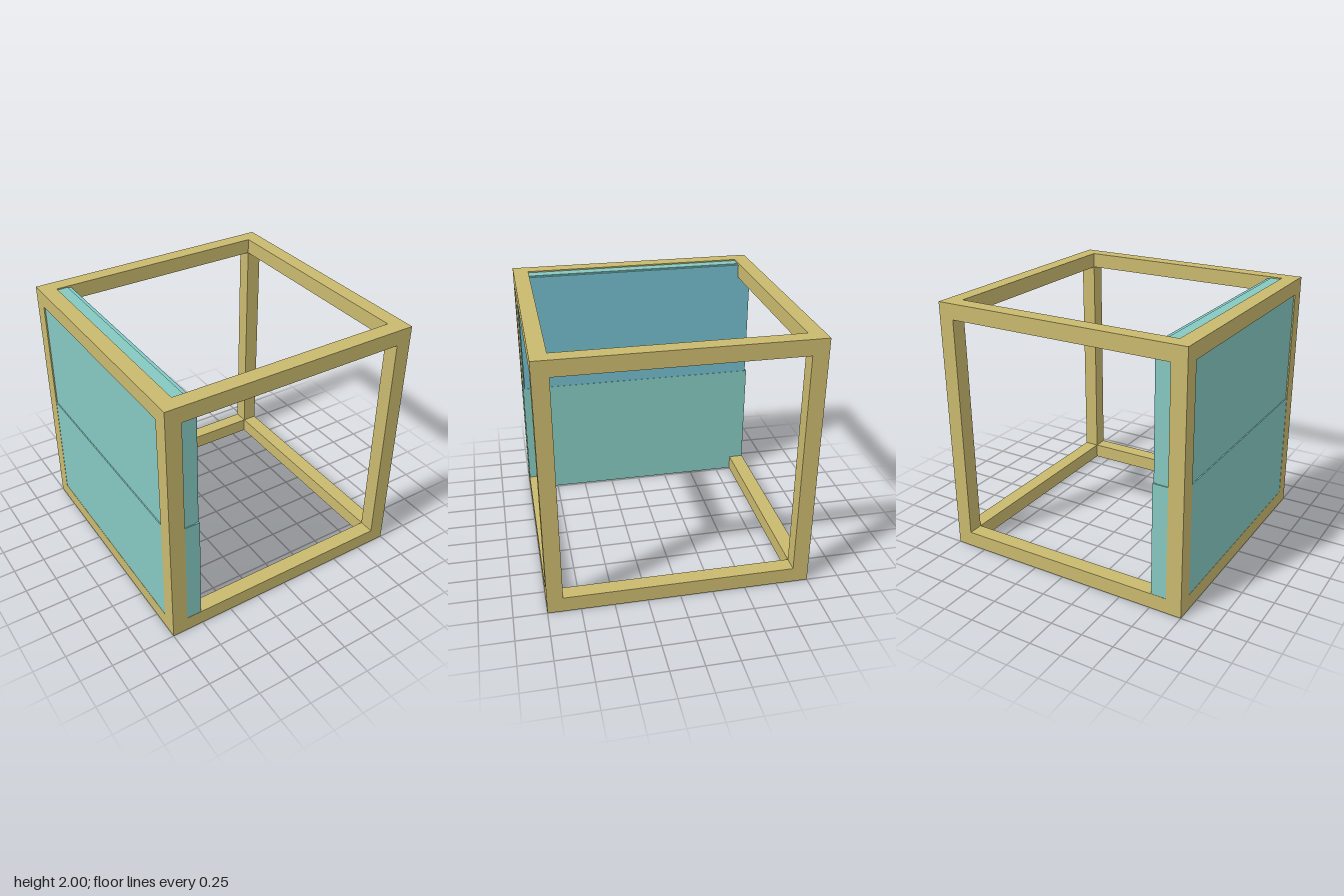
import * as THREE from 'three';

export function createModel() {
  const model = new THREE.Group();
  model.name = 'framedWindow';

  const mat = (name, color) => {
    const m = new THREE.MeshStandardMaterial({ color });
    m.name = name;
    return m;
  };
  const wood = mat('sandyFrame', 0xc9b96e);
  const teal = mat('paleTeal', 0x86c9c1);
  const blue = mat('glassBlue', 0x73bbcb);

  // box given by its minimum and maximum corners
  const block = (name, material, min, max, parent = model) => {
    const size = max.map((v, i) => v - min[i]);
    const mesh = new THREE.Mesh(new THREE.BoxGeometry(...size), material);
    mesh.position.set(...min.map((v, i) => v + size[i] / 2));
    mesh.name = name;
    parent.add(mesh);
  };

  // open cube frame: four posts, then four beams along each horizontal axis
  const T = 0.12, L = 1 - T;
  const frame = new THREE.Group();
  frame.name = 'cubeFrame';
  model.add(frame);
  for (const a of [-1, L]) {
    for (const b of [-1, L]) {
      block('post', wood, [a, 0, b], [a + T, 2, b + T], frame);
      block('sideBeam', wood, [a, b + 1, -L], [a + T, b + 1 + T, L], frame);
      block('crossBeam', wood, [-L, a + 1, b], [L, a + 1 + T, b + T], frame);
    }
  }

  // lower wall panel, almost flush with the frame
  block('lowerPanel', teal, [-0.998, 0.002, -0.998], [-0.76, 1, 0.998]);

  // upper panel in layers, faced with a blue sheet on the inside
  block('upperPanel', teal, [-0.99, 1, -0.99], [-0.79, 1.99, 0.99]);
  block('upperPanelTrim', teal, [-0.79, 1, -0.985], [-0.77, 1.985, 0.985]);
  block('blueSheet', blue, [-0.77, 1, -0.985], [-0.763, 1.985, 0.985]);

  return model;
}
